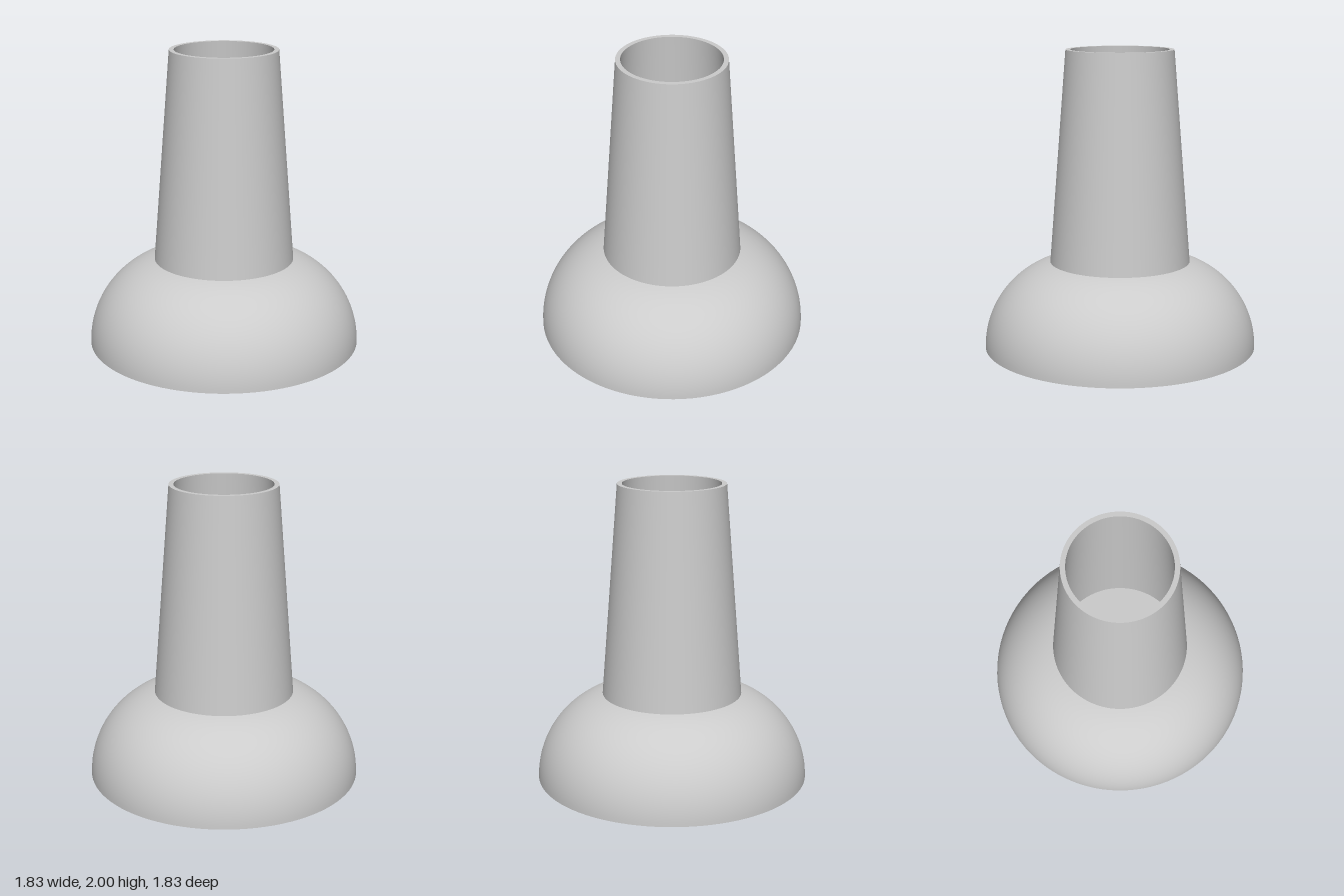
import * as THREE from 'three';

const SEGMENTS = 96;
const ARC_X = 0.315; // centre of the dome's rounded section

// Points on the dome section between two radii, from the first to the second
function domeArc(radius, fromX, fromY, toX, toY, steps = 28) {
  const a = Math.atan2(fromY, fromX - ARC_X);
  const b = Math.atan2(toY, toX - ARC_X);
  return Array.from({ length: steps + 1 }, (_, i) => {
    const t = a + (b - a) * (i / steps);
    return [ARC_X + radius * Math.cos(t), radius * Math.sin(t)];
  });
}

export function createModel() {
  const group = new THREE.Group();
  group.name = 'hollowStand';
  const material = new THREE.MeshStandardMaterial({ color: 0xcccccc });

  // Each surface is its own lathe, so the edges between them stay sharp
  const turn = (name, points) => {
    const profile = points.map(([x, y]) => new THREE.Vector2(x, y));
    const mesh = new THREE.Mesh(new THREE.LatheGeometry(profile, SEGMENTS), material);
    mesh.name = name;
    group.add(mesh);
  };

  const outer = 0.6, inner = 0.567, floor = 0.06, bore = 0.348;
  const neckOut = 0.47, neckIn = 0.437, topOut = 0.357, topIn = 0.325;
  const heightAt = (r, x) => Math.sqrt(r * r - (x - ARC_X) ** 2);
  const outY = heightAt(outer, neckOut), inY = heightAt(inner, neckIn);
  const floorX = ARC_X + Math.sqrt(inner * inner - floor * floor);

  // Outside, from the base up
  turn('domeOuter', domeArc(outer, ARC_X + outer, 0, neckOut, outY));
  turn('neckOuter', [[neckOut, outY], [topOut, 2]]);
  turn('neckRim', [[topOut, 2], [topIn, 2]]);

  // Inside, from the rim down
  turn('neckInner', [[topIn, 2], [neckIn, inY]]);
  turn('domeInner', domeArc(inner, neckIn, inY, floorX, floor));
  turn('basePlateTop', [[floorX, floor], [bore, floor]]);
  turn('basePlateBore', [[bore, floor], [bore, 0]]);
  turn('basePlateBottom', [[bore, 0], [ARC_X + outer, 0]]);

  return group;
}
